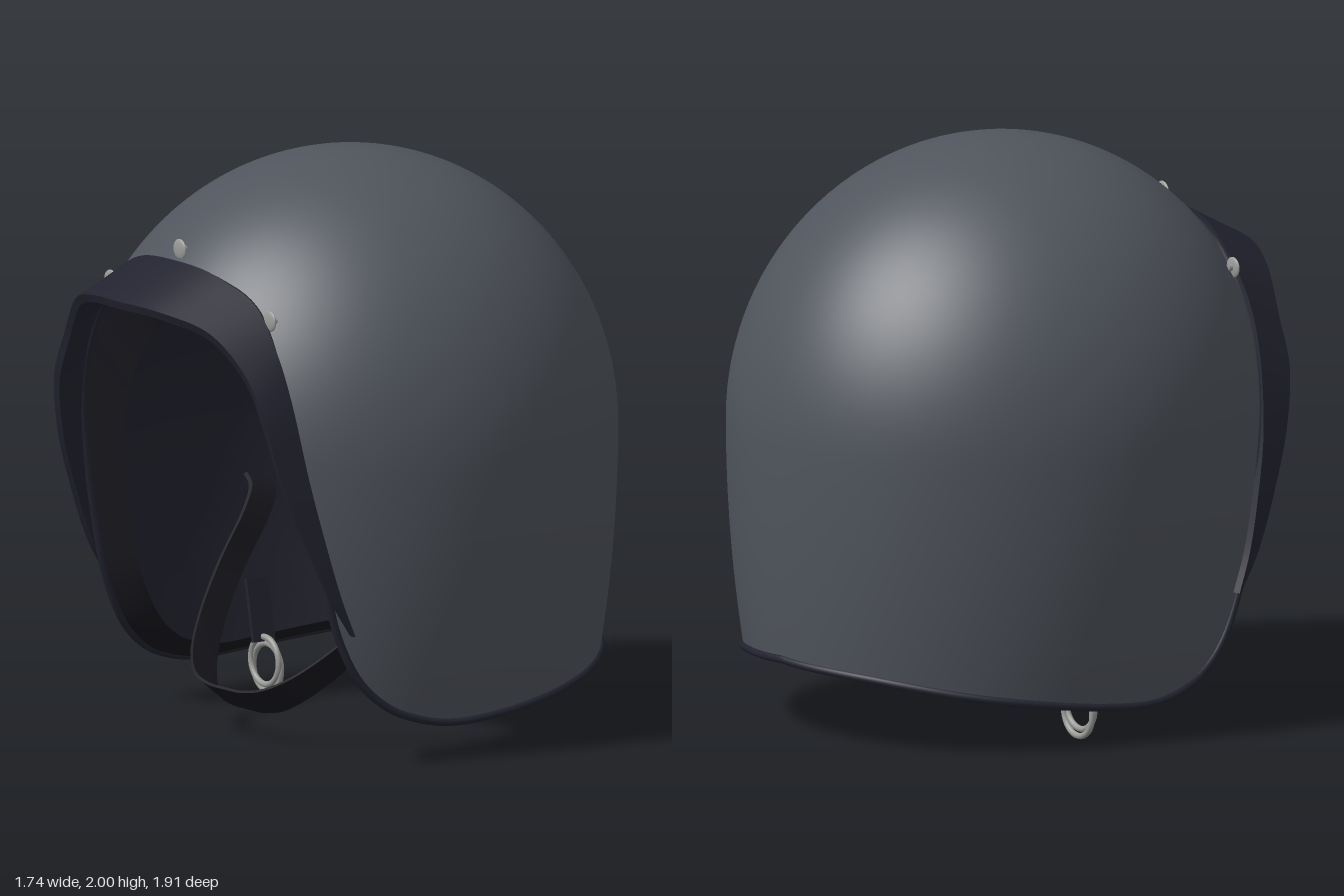
import * as THREE from 'three';
import { mergeVertices, toCreasedNormals } from 'three/addons/utils/BufferGeometryUtils.js';

const V = (x, y, z) => new THREE.Vector3(x, y, z);

// Surface through rows of points; outside is on the left of row -> column
function grid(rows, flip = false) {
  const n = rows[0].length, pos = [], index = [];
  rows.forEach(r => r.forEach(p => pos.push(p.x, p.y, p.z)));
  for (let i = 0; i < rows.length - 1; i++) {
    for (let j = 0; j < n - 1; j++) {
      const a = i * n + j, b = a + 1, c = a + n, d = c + 1;
      if (flip) index.push(a, d, c, a, b, d);
      else index.push(a, c, d, a, d, b);
    }
  }
  let g = new THREE.BufferGeometry();
  g.setAttribute('position', new THREE.Float32BufferAttribute(pos, 3));
  g.setIndex(index);
  g = mergeVertices(g, 1e-5);
  g.computeVertexNormals();
  return g;
}

// Point on the helmet dome at azimuth a (0 = front) and height y
const CY = 1.03, RY = 0.97;
function dome(a, y) {
  const h = (y - CY) / RY, low = ((CY - y) / 0.9) ** 2;
  const r = Math.sqrt(Math.max(0, 1 - h * h));
  const rx = y > CY ? r : 1 - 0.125 * low;
  const rz = y > CY ? r : 1 - 0.07 * low;
  return V(0.87 * rx * Math.sin(a), y, 0.953 * rz * Math.cos(a));
}

// Mirrors half a path (starting at x = 0) and smooths it
function mirrored(half, steps = 96) {
  const left = half.slice(1).reverse().map(([x, y, z]) => V(-x, y, z));
  const right = half.map(([x, y, z]) => V(x, y, z));
  return new THREE.CatmullRomCurve3([...left, ...right]).getPoints(steps);
}

export function createModel() {
  const group = new THREE.Group();
  const mat = (name, color, side = THREE.FrontSide) => {
    const m = new THREE.MeshStandardMaterial({ color, side });
    m.name = name;
    return m;
  };
  const grey = mat('shell grey', 0x50555d);
  const navy = mat('trim navy', 0x232330, THREE.DoubleSide);
  const black = mat('padding black', 0x18181f, THREE.DoubleSide);
  const metal = mat('metal', 0x9a9a97);
  const add = (name, geometry, material, parent = group) => {
    const m = new THREE.Mesh(geometry, material);
    m.name = name;
    parent.add(m);
    return m;
  };

  // Rim: azimuth in degrees and height, from brow round to nape
  const rimHalf = [[0, 1.66], [20, 1.64], [34.6, 1.55], [43.6, 1.3], [48.5, 1.0], [52.5, 0.7],
    [55.7, 0.47], [61, 0.3], [68, 0.2], [76, 0.15], [84, 0.13], [96, 0.14], [124, 0.195],
    [152, 0.255], [180, 0.28]].map(([a, y]) => [THREE.MathUtils.degToRad(a), y, 0]);
  const rim = mirrored(rimHalf, 224);
  const rimPoints = rim.map(p => dome(p.x, p.y));

  // Shell: meridians from the crown down to the rim
  const ROWS = 48, shellRows = [];
  for (let i = 0; i <= ROWS; i++) {
    shellRows.push(rim.map(p => {
      const phi = Math.acos((p.y - CY) / RY) * i / ROWS;
      return dome(p.x, CY + RY * Math.cos(phi));
    }));
  }
  add('shell', grid(shellRows), grey);

  // Lining: the same surface drawn inwards by t, thicker at the cheeks and
  // lifted at the bottom, joined to the rim by a padded lip
  const inset = t => p => {
    const lift = 0.065 * t * t * (1 - THREE.MathUtils.smoothstep(p.y, 0.3, 0.8));
    return V(p.x * (1 - 0.17 * t), 0.1 + (p.y - 0.1) * (1 - 0.14 * t) + lift, p.z * (1 - 0.14 * t));
  };
  add('lining', grid(shellRows.map(r => r.map(inset(1))), true), navy);
  const lip = [0, 0.2, 0.4, 0.6, 0.8, 1].map(t => rimPoints.map(inset(t)));
  add('paddedLip', grid(lip), black);

  // Rim beading
  const loop = new THREE.CatmullRomCurve3(rimPoints.slice(0, -1), true);
  add('rimBeading', new THREE.TubeGeometry(loop, 260, 0.014, 8, true), navy);

  // Peak: a flange from the shell out to a pointed front edge, tapering down the sides
  const base = mirrored([[0, 1.685, 0.725], [0.23, 1.66, 0.705], [0.43, 1.56, 0.67],
    [0.54, 1.43, 0.668], [0.61, 1.28, 0.66], [0.678, 1.0, 0.63], [0.71, 0.78, 0.583],
    [0.73, 0.6, 0.535], [0.74, 0.465, 0.485]]);
  const edge = mirrored([[0, 1.565, 0.955], [0.2, 1.555, 0.925], [0.4, 1.5, 0.85],
    [0.54, 1.36, 0.795], [0.625, 1.2, 0.778], [0.668, 1.0, 0.735], [0.70, 0.8, 0.662],
    [0.725, 0.6, 0.575], [0.735, 0.465, 0.495]]);
  const inner = p => V(p.x * 0.965, p.y - 0.025 * Math.max(0, p.y - 0.47), p.z - 0.008);
  const peakRows = [base, edge, edge.map(inner), base.map(inner), base];
  add('peak', toCreasedNormals(grid(peakRows), 0.6), navy);

  // Press studs along the brow: flat caps on short posts
  [[0, 1.718, 0.695], [0.47, 1.535, 0.652], [-0.47, 1.535, 0.652]].forEach(([x, y, z]) => {
    const stud = new THREE.Group();
    stud.name = 'pressStud';
    stud.position.set(x, y, z);
    add('studCap', new THREE.SphereGeometry(0.036, 20, 12), metal, stud).scale.z = 0.25;
    const post = add('studPost', new THREE.CylinderGeometry(0.012, 0.012, 0.024, 12), metal, stud);
    post.rotation.x = Math.PI / 2;
    post.position.z = -0.012;
    group.add(stud);
  });

  // Chin strap: a sloping U-shaped ribbon that turns edge-on towards its ends
  const chin = mirrored([[0, 0.133], [0.1, 0.135], [0.2, 0.155], [0.3, 0.215], [0.4, 0.325],
    [0.49, 0.48], [0.55, 0.64], [0.6, 0.71], [0.67, 0.74]]
    .map(([x, y]) => [x, y, 0.465 - (y - 0.133) * 0.92]));
  const ribbon = (k, dx, t) => chin.map(p => {
    const turn = THREE.MathUtils.smoothstep(Math.abs(p.x), 0.15, 0.5);
    return V(p.x * dx, p.y + k * (0.04 - 0.022 * turn) + 0.74 * t, p.z + 0.05 * k - 0.68 * t);
  });
  const outerTop = ribbon(1, 1, 0);
  const strapRows = [outerTop, ribbon(-1, 1, 0), ribbon(-1, 0.98, 0.01), ribbon(1, 0.98, 0.01), outerTop];
  add('chinStrap', toCreasedNormals(grid(strapRows), 0.6), black);

  // Strap rings hanging below the right cheek, with their short tab
  [[0.095, -0.086], [0.118, -0.076]].forEach(([y, z]) => {
    add('strapRing', new THREE.TorusGeometry(0.082, 0.011, 10, 40), metal).position.set(-0.59, y, z);
  });
  const tab = add('ringTab', new THREE.BoxGeometry(0.014, 0.22, 0.09), navy);
  tab.position.set(-0.625, 0.29, -0.08);
  tab.rotation.z = 0.2;

  return group;
}
